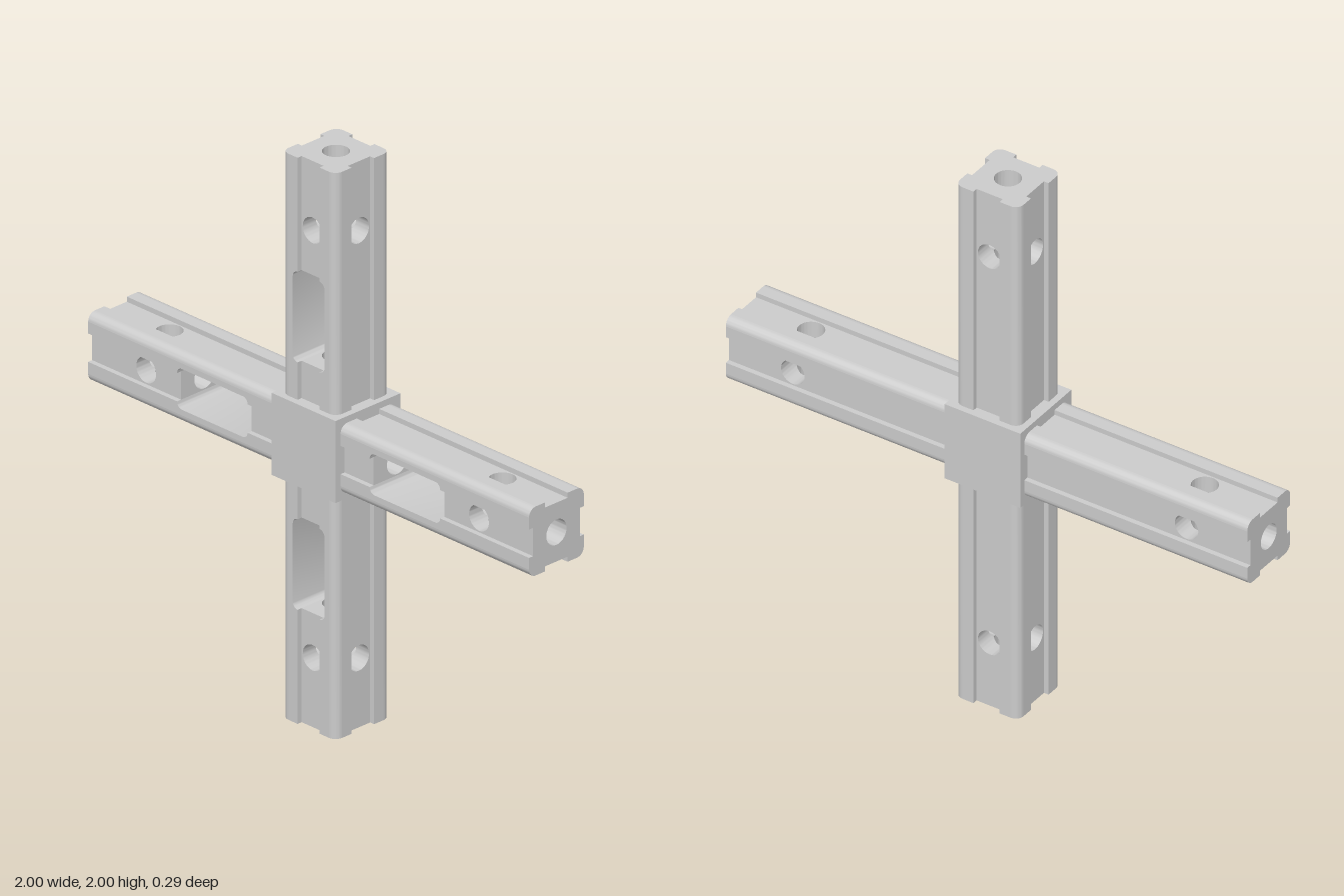
import * as THREE from 'three';
import { toCreasedNormals } from 'three/addons/utils/BufferGeometryUtils.js';

// Main sizes; an arm runs along +x from the hub face S to the tip 1
const S = 0.145, TIP = 1;             // hub half size, arm tip
const H = 0.122, R = 0.03, C = H - R; // arm half width, corner radius, corner centre
const W = 0.05, F = 0.104;            // groove half width, groove floor height
const BORE = 0.045, HOLE = 0.755;     // bore radius, cross hole position
const P0 = 0.277, P1 = 0.597, PW = 0.072, PR = PW - W, BACK = -0.085; // pocket

const material = new THREE.MeshStandardMaterial({ color: 0xcccccc, side: THREE.DoubleSide });

function add(parent, name, geometry) {
  const mesh = new THREE.Mesh(geometry, material);
  mesh.name = name;
  parent.add(mesh);
  return mesh;
}

// Surface between two rows of points of equal length
function strip(rowA, rowB) {
  const positions = [], index = [], n = rowA.length;
  [...rowA, ...rowB].forEach((p) => positions.push(...p));
  for (let i = 0; i < n - 1; i++) index.push(i, i + 1, n + i, i + 1, n + i + 1, n + i);
  const g = new THREE.BufferGeometry();
  g.setAttribute('position', new THREE.Float32BufferAttribute(positions, 3));
  g.setIndex(index);
  return toCreasedNormals(g, 0.6);
}

// Sample a function of an angle
const sweep = (from, to, n, fn) =>
  Array.from({ length: n + 1 }, (_, i) => fn(from + ((to - from) * i) / n));
const turn = (fn) => sweep(0, Math.PI * 2, 48, fn);

function rect(x0, y0, x1, y1, holeX = null, holeY = 0) {
  const s = new THREE.Shape([[x0, y0], [x1, y0], [x1, y1], [x0, y1]].map((p) => new THREE.Vector2(...p)));
  if (holeX !== null) s.holes.push(new THREE.Path().absarc(holeX, holeY, BORE, 0, Math.PI * 2, true));
  return s;
}
const flat = (shape) => new THREE.ShapeGeometry(shape, 24);

// Where a bore wall begins beside crossing bores of the same radius
const trim2 = (a) => BORE * Math.abs(Math.cos(a));
const trim3 = (a) => BORE * Math.max(Math.abs(Math.cos(a)), Math.abs(Math.sin(a)));

// Upper half of the pocket outline
const pocketEdge = [
  ...sweep(Math.PI, Math.PI / 2, 8, (a) => [P0 + PR + PR * Math.cos(a), W + PR * Math.sin(a)]),
  ...sweep(Math.PI / 2, 0, 8, (a) => [P1 - PR + PR * Math.cos(a), W + PR * Math.sin(a)]),
];

// Grooved square section with rounded corners and the central bore
function sectionShape() {
  const points = [];
  for (let k = 0; k < 4; k++) {
    const quarter = [[F, W], [H, W],
      ...sweep(0, Math.PI / 2, 10, (a) => [C + R * Math.cos(a), C + R * Math.sin(a)]),
      [W, H], [W, F]];
    for (const [x, y] of quarter) {
      points.push(new THREE.Vector2(x, y).rotateAround(new THREE.Vector2(), (k * Math.PI) / 2));
    }
  }
  const shape = new THREE.Shape(points);
  shape.holes.push(new THREE.Path().absarc(0, 0, BORE, 0, Math.PI * 2, true));
  return shape;
}

// One long side of an arm, facing +z
function createSide(hasPocket) {
  const side = new THREE.Group();
  side.name = hasPocket ? 'pocketSide' : 'plainSide';
  const spans = hasPocket ? [[S, P0], [P1, TIP]] : [[S, TIP]];
  for (const [a, b] of spans) {
    add(side, 'grooveFloor', flat(rect(a, -W, b, W, b === TIP ? HOLE : null))).position.z = F;
    for (const v of [-W, W]) {
      add(side, 'grooveWall', strip([[a, v, F], [b, v, F]], [[a, v, H], [b, v, H]]));
    }
  }
  const outline = [[S, W], ...(hasPocket ? pocketEdge : []), [TIP, W], [TIP, C], [S, C]];
  const land = flat(new THREE.Shape(outline.map((p) => new THREE.Vector2(...p))));
  for (const mirror of [1, -1]) {
    const mesh = add(side, 'outerLand', land);
    mesh.position.z = H;
    mesh.scale.y = mirror;
  }
  const corner = (x) => sweep(0, Math.PI / 2, 10, (a) => [x, C + R * Math.cos(a), C + R * Math.sin(a)]);
  add(side, 'roundedCorner', strip(corner(S), corner(TIP)));
  const ring = (z) => turn((a) => [HOLE + BORE * Math.cos(a), BORE * Math.sin(a), z(a)]);
  add(side, 'crossHole', strip(ring(trim3), ring(() => F)));
  return side;
}

// Deep recess in the front of an arm, with the bore entering both ends
function createPocket() {
  const pocket = new THREE.Group();
  pocket.name = 'pocket';
  for (const m of [1, -1]) {
    const row = (z) => pocketEdge.map(([x, y]) => [x, y * m, z]);
    add(pocket, 'pocketWall', strip(row(BACK), row(H)));
  }
  const end = flat(rect(-W, BACK, W, F, 0)).rotateX(Math.PI / 2).rotateZ(Math.PI / 2);
  for (const x of [P0, P1]) add(pocket, 'pocketEnd', end).position.x = x;
  const full = [...pocketEdge, ...pocketEdge.map(([x, y]) => [x, -y]).reverse()];
  add(pocket, 'pocketBack', flat(new THREE.Shape(full.map((p) => new THREE.Vector2(...p))))).position.z = BACK;
  return pocket;
}

function createArm() {
  const arm = new THREE.Group();
  for (let k = 0; k < 4; k++) {
    const side = createSide(k === 0);
    side.rotation.x = (k * Math.PI) / 2;
    arm.add(side);
  }
  arm.add(createPocket());
  add(arm, 'endCap', flat(sectionShape()).rotateY(Math.PI / 2)).position.x = TIP;

  // Lengthwise bore, interrupted by the hub crossing, pocket and cross holes
  const ring = (x) => turn((a) => [x(a), BORE * Math.cos(a), BORE * Math.sin(a)]);
  const runs = [
    [trim2, () => P0],
    [() => P1, (a) => HOLE - trim3(a)],
    [(a) => HOLE + trim3(a), () => TIP],
  ];
  for (const [from, to] of runs) add(arm, 'bore', strip(ring(from), ring(to)));
  return arm;
}

// Central cube: closed front and back, bored on the four arm faces
function createHub() {
  const hub = new THREE.Group();
  hub.name = 'hub';
  for (const m of [1, -1]) {
    const plate = add(hub, m > 0 ? 'hubFront' : 'hubBack', new THREE.PlaneGeometry(2 * S, 2 * S));
    plate.position.z = m * S;
    if (m < 0) plate.rotation.y = Math.PI;
  }
  const face = flat(rect(-S, -S, S, S, 0)).rotateY(Math.PI / 2).translate(S, 0, 0);
  for (let k = 0; k < 4; k++) add(hub, 'hubArmFace', face).rotation.z = (k * Math.PI) / 2;
  return hub;
}

export function createModel() {
  const model = new THREE.Group();
  model.name = 'crossConnector';
  const body = new THREE.Group();
  body.name = 'body';
  body.position.y = 1;
  model.add(body);
  body.add(createHub());
  ['leftArm', 'upperArm', 'rightArm', 'lowerArm'].forEach((name, k) => {
    const arm = createArm();
    arm.name = name;
    arm.rotation.z = (k * Math.PI) / 2;
    body.add(arm);
  });
  return model;
}
